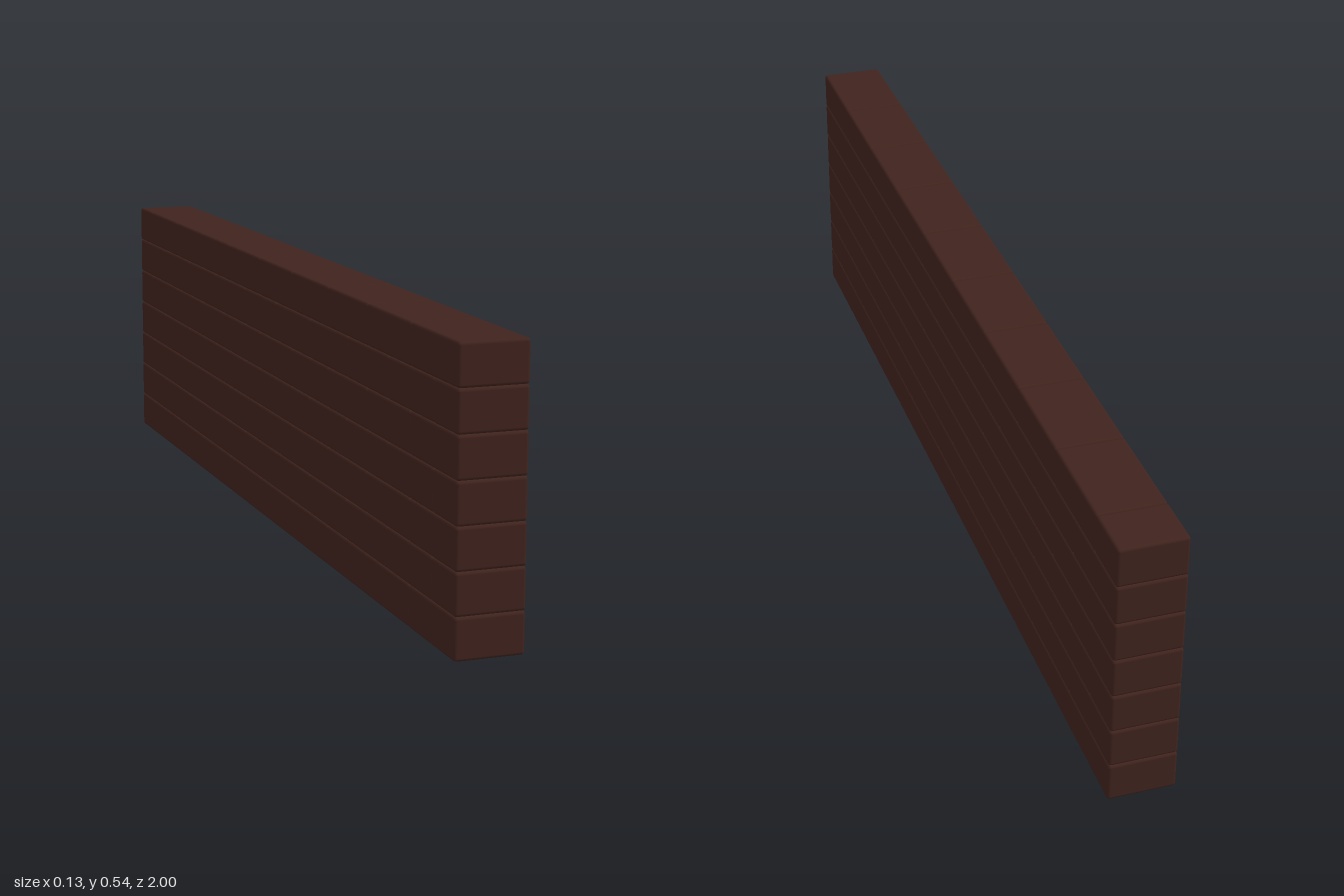
import * as THREE from 'three';
import { RoundedBoxGeometry } from 'three/addons/geometries/RoundedBoxGeometry.js';

const ROWS = 7, FULL_BRICKS = 9;
const WIDTH = 0.13, HEIGHT = 0.543, LENGTH = 2, BEVEL = 0.006;

export function createModel() {
  const wall = new THREE.Group();
  wall.name = 'brickWall';

  const material = new THREE.MeshStandardMaterial({ color: 0x40231d });
  const rowHeight = HEIGHT / ROWS;
  const brickLength = LENGTH / (FULL_BRICKS + 0.5);
  const fullBrick = new RoundedBoxGeometry(WIDTH, rowHeight, brickLength, 2, BEVEL);
  const halfBrick = new RoundedBoxGeometry(WIDTH, rowHeight, brickLength / 2, 2, BEVEL);

  // Running bond: the half brick alternates between the back and front ends
  for (let r = 0; r < ROWS; r++) {
    const row = new THREE.Group();
    row.name = `brickRow${r + 1}`;
    row.position.y = (r + 0.5) * rowHeight;
    const halfIndex = r % 2 === 0 ? FULL_BRICKS : 0;

    let z = LENGTH / 2;
    for (let i = 0; i <= FULL_BRICKS; i++) {
      const isHalf = i === halfIndex;
      const length = isHalf ? brickLength / 2 : brickLength;
      const brick = new THREE.Mesh(isHalf ? halfBrick : fullBrick, material);
      brick.name = isHalf ? 'halfBrick' : 'brick';
      brick.position.z = z - length / 2;
      z -= length;
      row.add(brick);
    }
    wall.add(row);
  }
  return wall;
}
